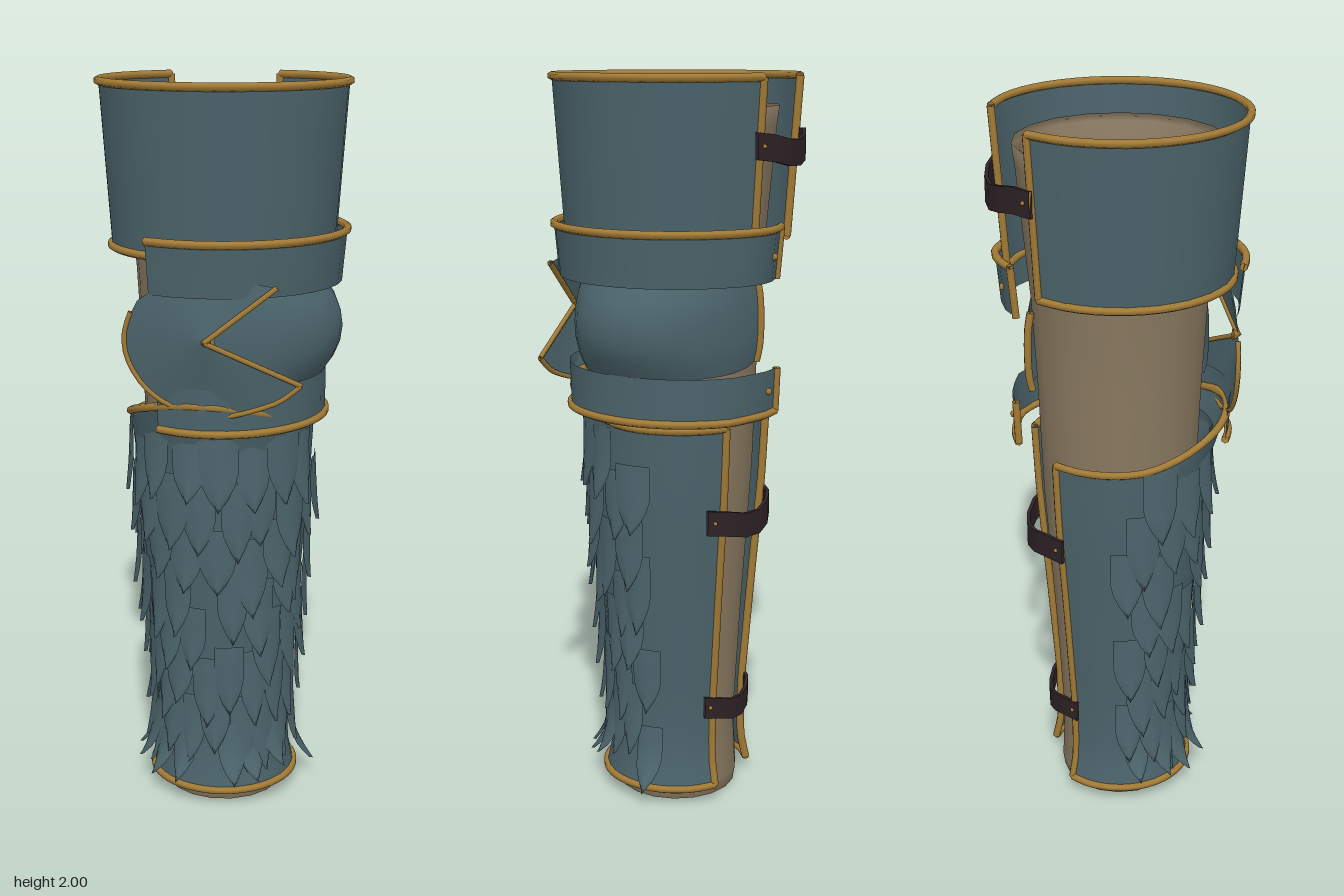
import * as THREE from 'three';

const D = Math.PI / 180;
const mat = (name, color) => {
  const m = new THREE.MeshStandardMaterial({ color, side: THREE.DoubleSide });
  m.name = name;
  return m;
};
// angle a in degrees: 0 is the front, 90 is +x
const pol = (a, r, y) => new THREE.Vector3(r * Math.sin(a * D), y, r * Math.cos(a * D));
const lerp = THREE.MathUtils.lerp;

// radius from a short list of [y, r] pairs
function profile(pts) {
  return (y) => {
    for (let i = 1; i < pts.length; i++) {
      if (y <= pts[i][0]) {
        const t = (y - pts[i - 1][0]) / (pts[i][0] - pts[i - 1][0]);
        return lerp(pts[i - 1][1], pts[i][1], Math.max(0, t));
      }
    }
    return pts[pts.length - 1][1];
  };
}

// grid surface from f(u, v), both 0..1
function surface(f, nu, nv) {
  const pos = [], idx = [];
  for (let j = 0; j <= nv; j++)
    for (let i = 0; i <= nu; i++) pos.push(...f(i / nu, j / nv).toArray());
  for (let j = 0; j < nv; j++)
    for (let i = 0; i < nu; i++) {
      const a = j * (nu + 1) + i, b = a + nu + 1;
      idx.push(a, a + 1, b + 1, a, b + 1, b);
    }
  const g = new THREE.BufferGeometry();
  g.setAttribute('position', new THREE.Float32BufferAttribute(pos, 3));
  g.setIndex(idx);
  g.computeVertexNormals();
  return g;
}

export function createModel() {
  const root = new THREE.Group();
  root.name = 'legArmour';
  const steel = mat('blueSteel', 0x4b646b);
  const gold = mat('brass', 0xa47c36);
  const cloth = mat('paddedCloth', 0x8a7a61);
  const leather = mat('darkLeather', 0x2e2226);

  let seed = 7;
  const rnd = () => (seed = (seed * 16807) % 2147483647) / 2147483647;
  const add = (name, geo, m, parent = root) => {
    const mesh = new THREE.Mesh(geo, m);
    mesh.name = name;
    parent.add(mesh);
    return mesh;
  };
  const group = (name) => {
    const g = new THREE.Group();
    g.name = name;
    root.add(g);
    return g;
  };
  // rolled brass edge along one side of a surface
  const trim = (name, f, n, parent, r = 0.011) => {
    const pts = [];
    for (let i = 0; i <= n; i++) pts.push(f(i / n));
    add(name, new THREE.TubeGeometry(new THREE.CatmullRomCurve3(pts), n * 2, r, 6), gold, parent);
  };
  // curved plate with chosen trimmed edges
  const plate = (name, f, nu, nv, edges) => {
    const g = group(name);
    add(name + 'Shell', surface(f, nu, nv), steel, g);
    if (edges.includes('top')) trim('topTrim', (t) => f(t, 1), nu, g);
    if (edges.includes('bottom')) trim('bottomTrim', (t) => f(t, 0), nu, g);
    if (edges.includes('start')) trim('startTrim', (t) => f(0, t), nv, g);
    if (edges.includes('end')) trim('endTrim', (t) => f(1, t), nv, g);
  };

  // padded sleeve, open at both ends
  const sleeve = [[0.115, 0.14], [0.158, 0.005], [0.166, 0], [0.172, 0.04], [0.165, 0.2], [0.185, 0.55],
    [0.212, 0.95], [0.222, 1.25], [0.235, 1.5], [0.268, 1.86], [0.275, 1.915], [0.255, 1.9], [0.236, 1.8]];
  add('sleeve', new THREE.LatheGeometry(sleeve.map((p) => new THREE.Vector2(...p)), 18), cloth);

  // inner half lining
  plate('innerHalfShell', (u, v) => pol(lerp(2, 178, u), lerp(0.095, 0.212, v), lerp(0.4, 1.3, v)),
    10, 4, ['bottom', 'start', 'end']);

  // thigh plate
  plate('thighPlate', (u, v) => pol(lerp(-141, 164, u), lerp(0.3, 0.329, v), lerp(1.565, 1.989, v)),
    20, 4, ['top', 'bottom', 'start', 'end']);

  // bands above and below the knee, open on the right side
  plate('upperKneeBand', (u, v) => {
    const a = lerp(-25, 190, u);
    const r = lerp(0.317, 0.329, v) - (a > 168 ? (a - 168) * 0.0015 : 0);
    return pol(a, r, lerp(1.47, 1.607, v));
  }, 18, 2, ['top', 'end']);
  plate('lowerKneeBand', (u, v) => {
    const a = lerp(-25, 190, u);
    const p = pol(a, 1, lerp(1.112, 1.232, v));
    p.x *= 0.277;
    p.z *= lerp(0.298, 0.303, v) - (a > 150 ? 0.012 : 0);
    return p;
  }, 16, 2, ['bottom', 'end']);

  // side wing of the knee, bulging outwards
  plate('kneeWing', (u, v) => {
    const a = lerp(5, 184, u), s = v * 2 - 1;
    const end = 1 - 0.2 * Math.pow(Math.abs(u * 2 - 1), 6) * (s < 0 ? 1 : 0.2);
    const p = pol(a, 1 - 0.16 * s * s, 1.35 + s * 0.125 * end);
    p.x *= 0.322;
    p.z *= 0.25 + 0.035 * s * s;
    return p;
  }, 18, 6, ['end']);

  // pointed knee cap: a shallow cone with a wedge left open
  const rim = profile([[38, 0.225], [60, 0.17], [100, 0.135], [150, 0.205], [185, 0.225],
    [215, 0.215], [250, 0.2], [300, 0.21], [335, 0.265]]);
  const capPoint = (u, v) => {
    const t = lerp(38, 335, u), r = rim(t) * v;
    return new THREE.Vector3(0.02 + r * Math.cos(t * D), 1.36 + r * Math.sin(t * D), 0.328 - 0.22 * r);
  };
  const cap = group('kneeCap');
  add('kneeCapShell', surface((u, v) => capPoint(u, 1 - v), 18, 3), steel, cap);
  trim('kneeCapRim', (t) => capPoint(lerp(0.42, 1, t), 1), 12, cap, 0.007);
  trim('kneeCapUpperEdge', (t) => capPoint(0, t), 3, cap, 0.008);
  trim('kneeCapLowerEdge', (t) => capPoint(1, t), 3, cap, 0.007);
  const tip = add('kneeCapPoint', new THREE.ConeGeometry(0.018, 0.025, 6), gold, cap);
  tip.rotation.x = Math.PI / 2;
  tip.position.set(0.02, 1.36, 0.326);

  // shin plate, its upper edge rising and flaring at the front
  const shinR = profile([[0.045, 0.202], [0.13, 0.184], [0.3, 0.188], [0.6, 0.212], [0.9, 0.238], [1.1, 0.248]]);
  plate('shinPlate', (u, v) => {
    const a = lerp(-142, 155, u);
    const front = Math.pow(Math.max(0, Math.cos(a * D)), 1.5);
    const y = lerp(0.045, 1.1 + 0.085 * front - 0.015 * Math.abs(Math.sin(a * D / 2)), v);
    return pol(a, shinR(y) + 0.045 * front * Math.max(0, (v - 0.88) / 0.12), y);
  }, 20, 16, ['top', 'bottom', 'start', 'end']);

  // broad overlapping scales on the front of the shin, the lowest row flaring
  const scales = group('shinScales');
  const rows = 8;
  for (let k = 0; k < rows; k++) {
    const last = k === rows - 1;
    for (let c = 0; c < 10; c++) {
      if (rnd() < 0.07) continue;
      const mid = -92 + c * 20 + (k % 2) * 10 + (rnd() - 0.5) * 7;
      const top = (last ? 0.25 : 1.08 - k * 0.127 + (c % 2) * 0.03) + (rnd() - 0.5) * 0.05;
      const h = (last ? 0.14 : 0.18) + rnd() * 0.05;
      const half = 10 + rnd() * 2.5;
      const flare = last ? 0.04 : 0.012 + rnd() * 0.014;
      const lift = 0.005 + (c % 2) * 0.005;
      add('scale', surface((u, v) => {
        const s = u * 2 - 1, d = 1 - v;
        const w = d < 0.5 ? 1 : 1 - Math.pow((d - 0.5) * 2, 1.6);
        const y = top - d * h;
        const r = shinR(y) + lift + flare * d * d + 0.01 * (1 - s * s) * Math.sqrt(d);
        return pol(mid + s * half * w, r, y);
      }, 4, 6), steel, scales);
    }
  }

  // straps across the open back, each with a stud at both ends
  const straps = [[1.81, 0.326, 160, 221, 0.034], [0.82, 0.243, 142, 223, 0.034], [0.27, 0.19, 146, 223, 0.03]];
  for (const [y, r, a0, a1, h] of straps) {
    const g = group('backStrap');
    const f = (u, v, off) => pol(lerp(a0, a1, u),
      r + off + 0.01 * Math.sin(u * Math.PI), y + (v * 2 - 1) * h + 0.012 * Math.cos(u * 7));
    for (const off of [0, 0.01]) add('strapFace', surface((u, v) => f(u, v, off), 6, 1), leather, g);
    for (const v of [0, 1]) add('strapEdge', surface((u, w) => f(u, v, w * 0.01), 6, 1), leather, g);
    for (const u of [0.06, 0.94]) {
      const stud = add('stud', new THREE.SphereGeometry(0.006, 6, 4), gold, g);
      stud.position.copy(f(u, 0.5, 0.01));
    }
  }

  // rivets at the back ends of the knee bands
  const rivets = group('bandRivets');
  for (const [a, r, y] of [[178, 0.308, 1.535], [180, 0.29, 1.175]]) {
    const rivet = add('rivet', new THREE.SphereGeometry(0.01, 6, 4), gold, rivets);
    rivet.position.copy(pol(a, r, y));
  }
  return root;
}
